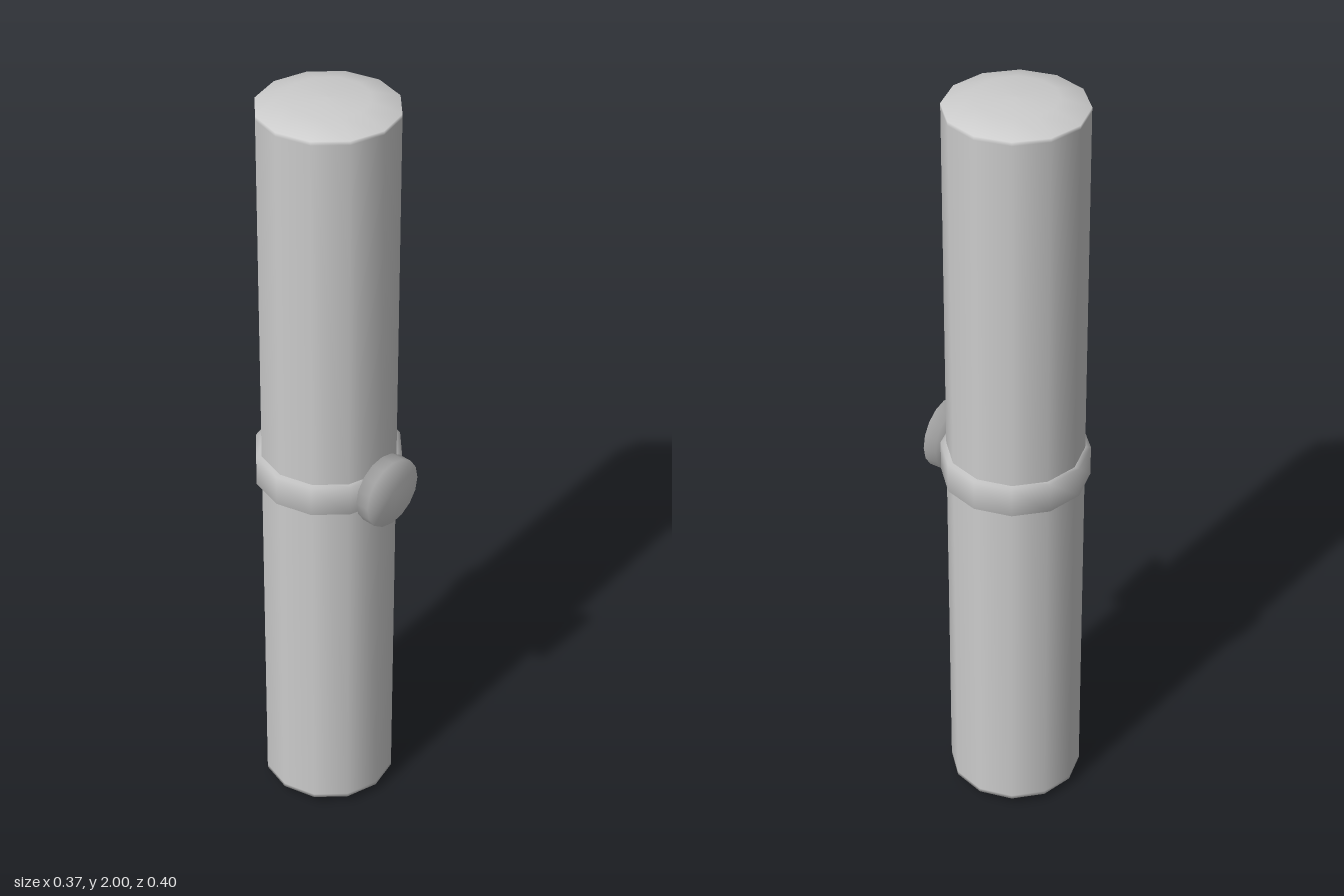
import * as THREE from 'three';

// Smooth turned solid from a [radius, height] profile, listed bottom to top
function turned(name, profile, sides, material) {
  const points = profile.map(([r, y]) => new THREE.Vector2(r, y));
  const mesh = new THREE.Mesh(new THREE.LatheGeometry(points, sides), material);
  mesh.name = name;
  return mesh;
}

export function createModel() {
  const group = new THREE.Group();
  group.name = 'bandedPost';
  const grey = new THREE.MeshStandardMaterial({ color: 0xcccccc });
  grey.name = 'light grey';
  const axisZ = -0.014;

  // Twelve-sided post with softly bevelled ends
  const post = turned('post', [
    [0, 0], [0.1, 0.002], [0.17, 0.022], [0.17, 0.032],
    [0.17, 1.968], [0.17, 1.978], [0.1, 1.998], [0, 2],
  ], 12, grey);
  post.position.z = axisZ;

  // Raised band around the middle
  const band = turned('band', [
    [0.16, 0.964], [0.184, 0.964], [0.184, 1.044], [0.16, 1.044],
  ], 12, grey);
  band.position.z = axisZ;

  // Round button on the front of the band
  const button = turned('button', [
    [0, 0], [0.09, 0], [0.09, 0.036], [0, 0.036],
  ], 16, grey);
  button.rotation.x = Math.PI / 2;
  button.position.set(0, 1.004, 0.162);

  group.add(post, band, button);
  return group;
}
